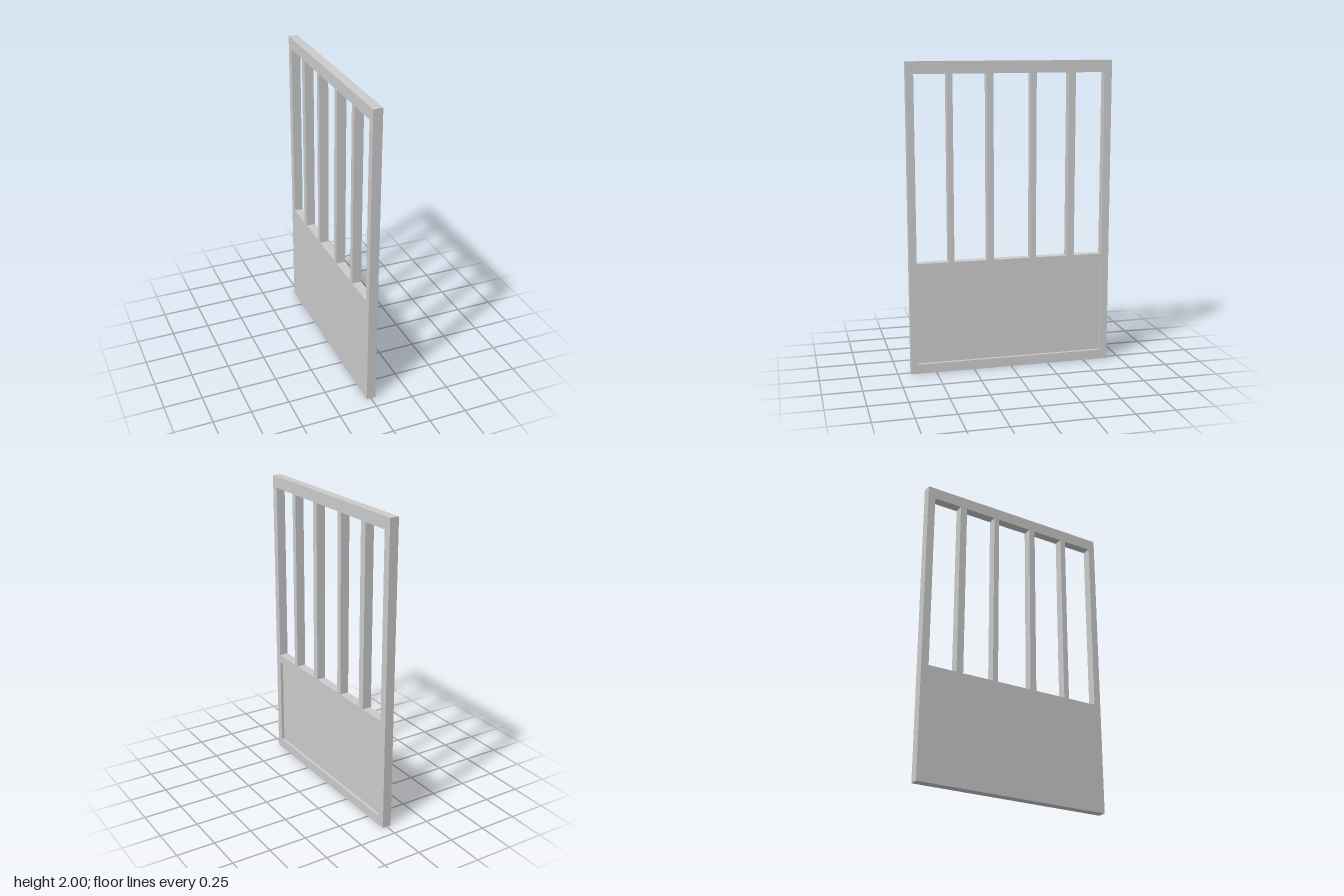
import * as THREE from 'three';

const T = 0.06;                       // gate thickness along x
const W = 0.665;                      // half width along z
const RECESS = 0.02;                  // depth of the panel recess on the +x side
const WINDOW_Y = [0.73, 1.923];
const PANEL_Y = [0.063, 0.673];
const INNER_Z = [-0.615, 0.618];
// the bars, each as [z from, z to], in order
const BARS = [[-0.424, -0.377], [-0.165, -0.128], [0.115, 0.158], [0.375, 0.412]];

// Rectangle in the z-y plane; the shape's x is -z so that rotateY lays it along z
function rect(PathType, [z0, z1], [y0, y1]) {
  return new PathType([[-z1, y0], [-z0, y0], [-z0, y1], [-z1, y1]]
    .map(([u, v]) => new THREE.Vector2(u, v))).closePath();
}

export function createModel() {
  const group = new THREE.Group();
  group.name = 'barredDoor';
  const material = new THREE.MeshStandardMaterial({ color: 0xcccccc, flatShading: true });

  // Frame: stiles, rails and bars as one slab with five windows and a panel opening
  const outline = rect(THREE.Shape, [-W, W], [0, 2]);
  const edges = [INNER_Z[0], ...BARS.flat(), INNER_Z[1]];
  for (let i = 0; i < edges.length; i += 2) {
    outline.holes.push(rect(THREE.Path, [edges[i], edges[i + 1]], WINDOW_Y));
  }
  outline.holes.push(rect(THREE.Path, INNER_Z, PANEL_Y));
  const frameGeometry = new THREE.ExtrudeGeometry(outline, { depth: T, bevelEnabled: false });
  frameGeometry.translate(0, 0, -T / 2).rotateY(Math.PI / 2);
  const frame = new THREE.Mesh(frameGeometry, material);
  frame.name = 'frameWithBars';
  group.add(frame);

  // Lower panel: flush on the -x side, recessed on the +x side
  const panel = new THREE.Mesh(
    new THREE.BoxGeometry(T - RECESS, PANEL_Y[1] - PANEL_Y[0], INNER_Z[1] - INNER_Z[0]), material);
  panel.name = 'lowerPanel';
  panel.position.set(-RECESS / 2, (PANEL_Y[0] + PANEL_Y[1]) / 2, (INNER_Z[0] + INNER_Z[1]) / 2);
  group.add(panel);

  return group;
}
